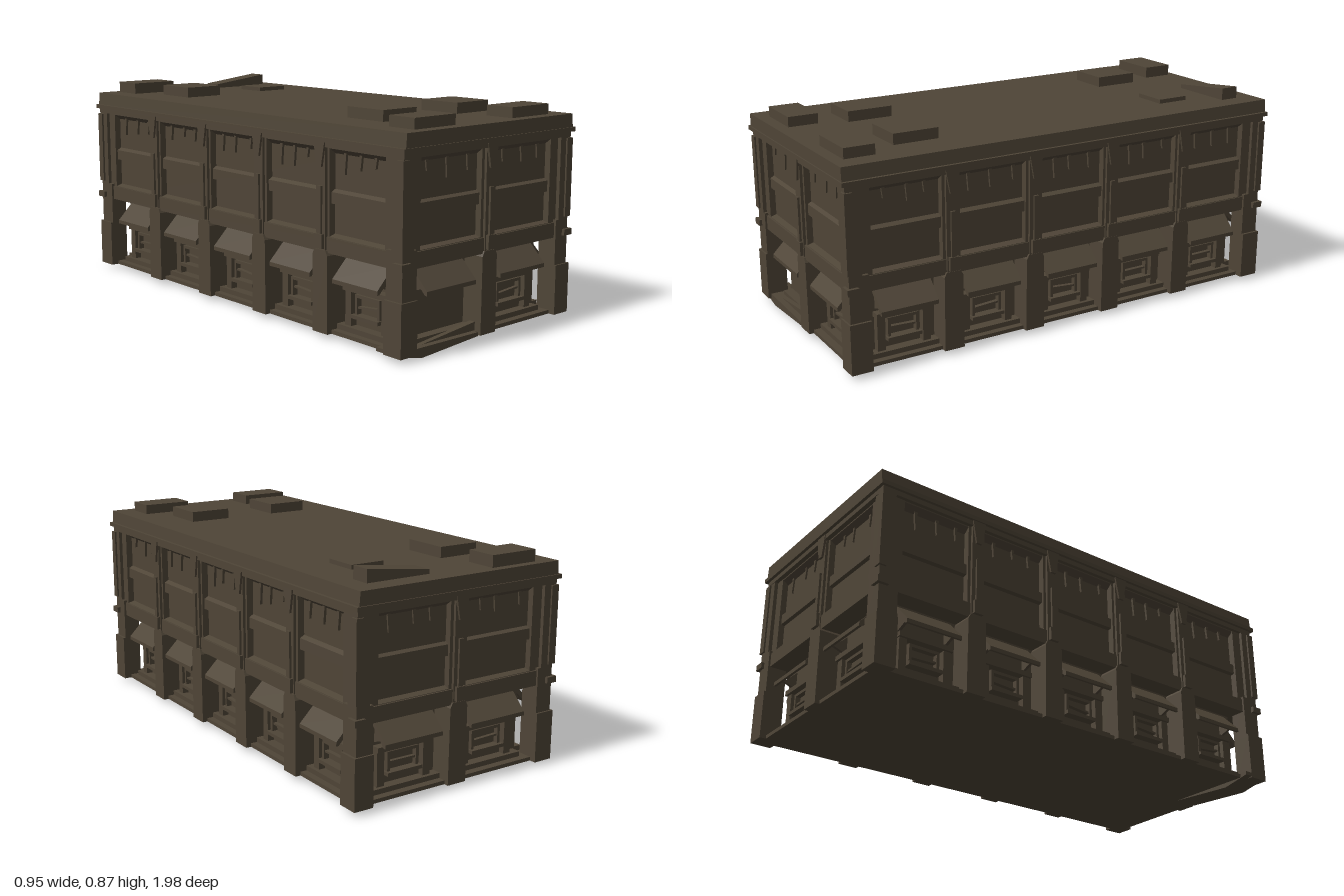
import * as THREE from 'three';

const stone = new THREE.MeshStandardMaterial({ color: 0x4f4537, flatShading: true });
stone.name = 'weathered brown';

export function createModel() {
  const model = new THREE.Group();
  model.name = 'derelictBlock';

  const add = (parent, name, geometry) => {
    const mesh = new THREE.Mesh(geometry, stone);
    mesh.name = name;
    parent.add(mesh);
    return mesh;
  };
  // box given by its limits on each axis
  const box = (parent, name, x0, x1, y0, y1, z0, z1) => {
    const g = new THREE.BoxGeometry(x1 - x0, y1 - y0, z1 - z0);
    g.translate((x0 + x1) / 2, (y0 + y1) / 2, (z0 + z1) / 2);
    return add(parent, name, g);
  };
  // outline in (depth, height), swept along the wall from x0 to x1
  const sweep = (parent, name, points, x0, x1) => {
    const shape = new THREE.Shape(points.map(([z, y]) => new THREE.Vector2(-z, y)));
    const g = new THREE.ExtrudeGeometry(shape, { depth: x1 - x0, bevelEnabled: false });
    g.rotateY(Math.PI / 2).translate(x0, 0, 0);
    return add(parent, name, g);
  };
  // outline in (x, y), given a thickness along z
  const plate = (parent, name, points, z0, z1) => {
    const shape = new THREE.Shape(points.map(([x, y]) => new THREE.Vector2(x, y)));
    const g = new THREE.ExtrudeGeometry(shape, { depth: z1 - z0, bevelEnabled: false });
    return add(parent, name, g.translate(0, 0, z0));
  };

  let seed = 7;
  const rand = () => (seed = (seed * 16807) % 2147483647) / 2147483647;

  // Solid cores and floor
  box(model, 'floorSlab', -0.44, 0.44, 0.02, 0.035, -0.955, 0.955);
  box(model, 'groundFloorCore', -0.37, 0.37, 0.03, 0.34, -0.885, 0.885);
  box(model, 'upperFloorCore', -0.42, 0.42, 0.33, 0.76, -0.935, 0.935);

  // Belt course between the floors
  box(model, 'beltCourse', -0.453, 0.453, 0.33, 0.39, -0.967, 0.967);

  // Cornice and roof
  box(model, 'corniceLower', -0.462, 0.462, 0.725, 0.748, -0.977, 0.977);
  box(model, 'corniceLip', -0.474, 0.474, 0.745, 0.762, -0.99, 0.99);
  const roof = box(model, 'roof', -0.462, 0.462, 0.76, 0.815, -0.985, 0.985);
  const rp = roof.geometry.attributes.position;
  for (let i = 0; i < rp.count; i++) {
    if (rp.getY(i) > 0.8) rp.setX(i, rp.getX(i) * 0.99);
  }
  roof.geometry.computeVertexNormals();

  // Corner posts: a stout foot, a tapered shoulder and a slim upper post
  for (const sx of [-1, 1]) {
    for (const sz of [-1, 1]) {
      const post = new THREE.Group();
      post.name = 'cornerPost';
      model.add(post);
      const span = (name, x0, x1, y0, y1, z0, z1) => box(post, name,
        Math.min(sx * x0, sx * x1), Math.max(sx * x0, sx * x1), y0, y1,
        Math.min(sz * z0, sz * z1), Math.max(sz * z0, sz * z1));
      span('postFoot', 0.39, 0.472, 0.02, 0.22, 0.895, 0.982);
      span('postShoulder', 0.39, 0.462, 0.21, 0.4, 0.895, 0.975);
      span('postKnuckle', 0.43, 0.476, 0.335, 0.36, 0.94, 0.987);
      span('postUpper', 0.405, 0.462, 0.39, 0.75, 0.92, 0.975);
      span('postEdge', 0.437, 0.47, 0.41, 0.72, 0.95, 0.982);
    }
  }

  // A facade faces +z in its own frame, with its outer plane at z = 0
  function facade(name, bays, hw, piers, half, distance, angle) {
    const f = new THREE.Group();
    f.name = name;
    f.rotation.y = angle;
    f.position.set(Math.sin(angle) * distance, 0, Math.cos(angle) * distance);
    model.add(f);

    // Upper wall left standing between the window recesses
    const edges = [-half, ...bays.flatMap(u => [u - hw, u + hw]), half];
    for (let i = 0; i < edges.length; i += 2) {
      box(f, 'upperWall', edges[i], edges[i + 1], 0.38, 0.74, -0.06, -0.02);
    }

    // Piers with tapered feet
    for (const u of piers) {
      plate(f, 'pierFoot', [[u - 0.042, 0.02], [u + 0.042, 0.02], [u + 0.04, 0.32],
        [u + 0.03, 0.34], [u - 0.03, 0.34], [u - 0.04, 0.32]], -0.11, -0.006);
      box(f, 'pierUpper', u - 0.026, u + 0.026, 0.34, 0.745, -0.03, -0.009);
      box(f, 'pierRib', u - 0.01, u + 0.01, 0.36, 0.58, -0.02, 0);
      plate(f, 'pierBracket', [[u - 0.03, 0.745], [u - 0.012, 0.65],
        [u + 0.012, 0.65], [u + 0.03, 0.745]], -0.02, 0);
      box(f, 'pierKnuckle', u - 0.02, u + 0.02, 0.345, 0.4, -0.02, 0.004);
    }

    bays.forEach((u, k) => {
      const a = u - hw, b = u + hw;
      // Upper windows: sloped head, rail and sill
      sweep(f, 'windowHead', [[-0.055, 0.695], [-0.022, 0.72], [-0.022, 0.74], [-0.055, 0.74]], a, b);
      sweep(f, 'windowRail', [[-0.055, 0.51], [-0.03, 0.515], [-0.03, 0.558], [-0.055, 0.572]], a, b);
      sweep(f, 'windowSill', [[-0.055, 0.385], [-0.02, 0.385], [-0.02, 0.392], [-0.055, 0.402]], a, b);
      // Broken slivers hanging from the head
      for (let i = 0; i < 3; i++) {
        const s = a + hw * (0.3 + 0.6 * i + 0.2 * rand());
        const d = 0.62 + 0.05 * rand();
        plate(f, 'sliver', [[s, d], [s + 0.008, 0.71], [s - 0.006, 0.71]], -0.052, -0.038);
      }

      // Ground floor awning
      const w = hw * 0.82;
      sweep(f, 'awning', [[-0.1, 0.305], [-0.09, 0.318], [-0.01, 0.238],
        [-0.01, 0.222], [-0.02, 0.222]], u - w, u + w);
      for (const s of [-1, 1]) {
        const x = u + s * w * 0.85;
        sweep(f, 'awningBracket', [[-0.1, 0.22], [-0.1, 0.3], [-0.04, 0.242]], x - 0.006, x + 0.006);
      }

      // Ground floor shopfront: frame, opening surround and plinth
      box(f, 'plinth', a, b, 0.03, 0.055, -0.11, -0.055);
      const blank = name === 'frontFacade' && k === 0;
      if (blank) {
        plate(f, 'fallenPanel', [[a, 0.03], [b, 0.03], [b, 0.068], [a, 0.035]], -0.06, -0.035);
        return;
      }
      const p = hw * 0.66;
      box(f, 'shopLintel', u - p - 0.02, u + p + 0.02, 0.19, 0.21, -0.11, -0.06);
      for (const s of [-1, 1]) {
        box(f, 'shopJamb', u + s * p - 0.016, u + s * p + 0.016, 0.04, 0.2, -0.11, -0.07);
        box(f, 'windowStile', u + s * p * 0.62 - 0.006, u + s * p * 0.62 + 0.006, 0.095, 0.18, -0.11, -0.075);
      }
      box(f, 'windowTop', u - p * 0.66, u + p * 0.66, 0.168, 0.18, -0.11, -0.075);
      box(f, 'windowLedge', u - p * 0.75, u + p * 0.75, 0.09, 0.104, -0.11, -0.06);
      const bar = box(f, 'brokenBar', -p * 0.6, p * 0.6, -0.004, 0.004, -0.1, -0.08);
      bar.position.set(u, 0.135, 0);
      bar.rotation.z = (rand() - 0.5) * 0.25;
    });
    return f;
  }

  const endBays = [-0.2, 0.2], sideBays = [-0.73, -0.365, 0, 0.365, 0.73];
  const sidePiers = [-0.547, -0.182, 0.182, 0.547];
  const front = facade('frontFacade', endBays, 0.16, [0], 0.43, 0.98, 0);
  facade('backFacade', endBays, 0.16, [0], 0.43, 0.98, Math.PI);
  facade('leftFacade', sideBays, 0.145, sidePiers, 0.945, 0.468, Math.PI / 2);
  facade('rightFacade', sideBays, 0.145, sidePiers, 0.945, 0.468, -Math.PI / 2);

  // Sagging kerb at one front corner
  plate(front, 'saggingKerb', [[-0.472, 0.025], [-0.35, 0], [-0.05, 0.02],
    [-0.05, 0.035], [-0.472, 0.04]], -0.12, -0.01);

  // Roof boxes: x0, x1, z0, z1, top on the -x side, top on the +x side
  const vents = [
    [-0.37, -0.16, -0.95, -0.82, 0.862, 0.862], [-0.29, -0.115, -0.71, -0.52, 0.858, 0.858],
    [0.095, 0.37, -0.9, -0.82, 0.832, 0.865], [0.14, 0.285, -0.69, -0.55, 0.832, 0.832],
    [-0.29, -0.115, 0.51, 0.7, 0.858, 0.858], [0.11, 0.29, 0.51, 0.7, 0.858, 0.858],
    [-0.37, -0.16, 0.81, 0.935, 0.856, 0.856], [0.155, 0.37, 0.81, 0.935, 0.856, 0.856],
  ];
  for (const [x0, x1, z0, z1, t0, t1] of vents) {
    plate(model, 'roofBox', [[x0, 0.81], [x1, 0.81], [x1, t1], [x0, t0]], z0, z1);
  }

  return model;
}
